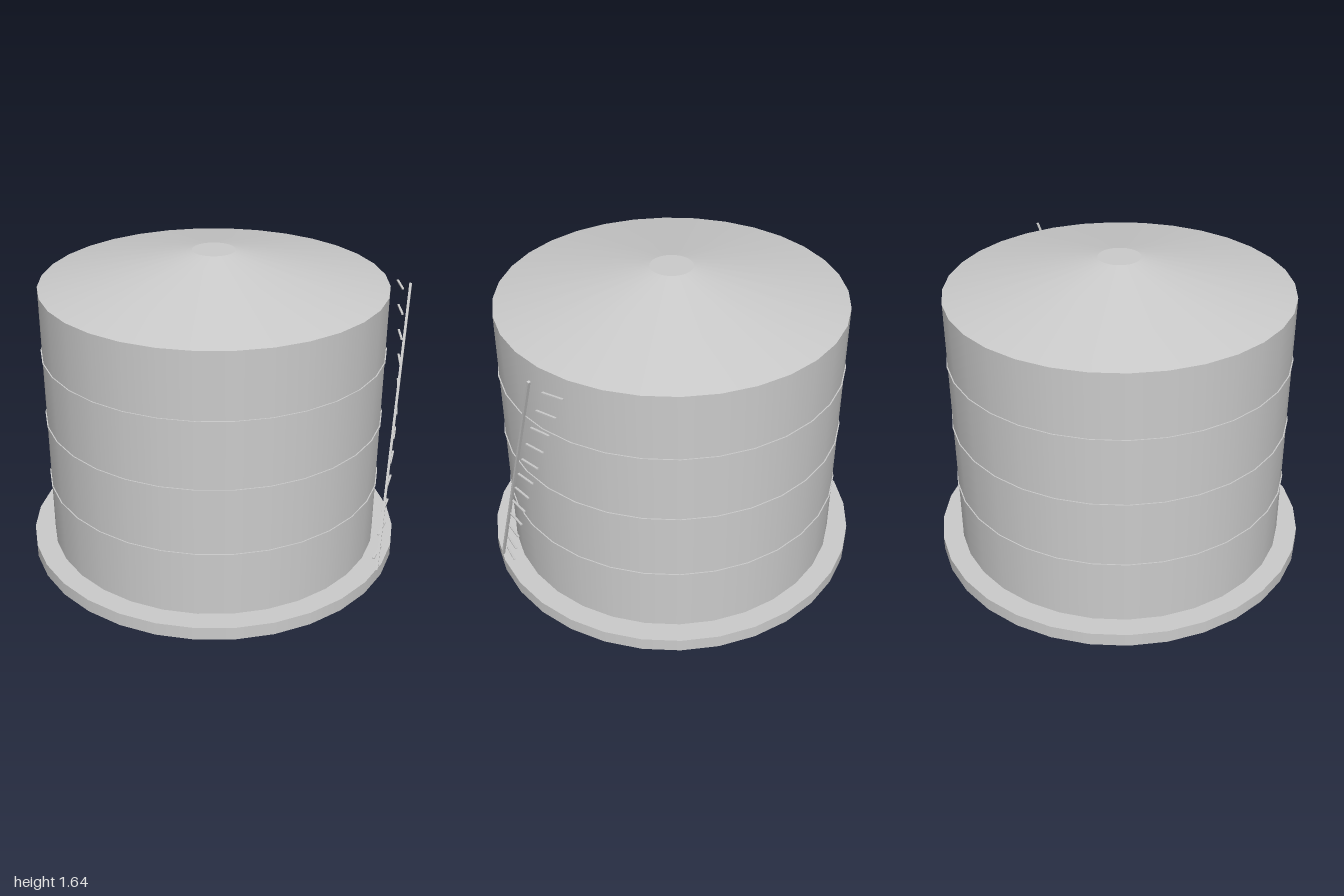
import * as THREE from 'three';

const SIDES = 32;
const material = new THREE.MeshStandardMaterial({ color: 0xcccccc });

function addPart(parent, name, geometry) {
  const mesh = new THREE.Mesh(geometry, material);
  mesh.name = name;
  parent.add(mesh);
  return mesh;
}

// Upright drum or cone standing between two heights
function addDrum(parent, name, topRadius, bottomRadius, y0, y1) {
  const mesh = addPart(parent, name, new THREE.CylinderGeometry(topRadius, bottomRadius, y1 - y0, SIDES));
  mesh.position.y = (y0 + y1) / 2;
  return mesh;
}

export function createModel() {
  const tank = new THREE.Group();
  tank.name = 'storageTank';

  // Foundation, shell and shallow cone roof
  addDrum(tank, 'foundation', 1, 1, 0, 0.07);
  addDrum(tank, 'shell', 0.89, 0.89, 0.07, 1.48);
  addDrum(tank, 'roof', 0.11, 0.89, 1.48, 1.645);

  // Thin hoops around the shell
  for (const y of [0.42, 0.777, 1.135]) {
    addDrum(tank, 'hoop', 0.896, 0.896, y - 0.003, y + 0.003);
  }

  // Stair on the left side: one straight sloping rail and a run of treads
  const stair = new THREE.Group();
  stair.name = 'stair';
  tank.add(stair);

  const start = new THREE.Vector3(0.963, 0.065, 0.25);
  const end = new THREE.Vector3(0.963, 1.48, -0.25);
  const along = end.clone().sub(start);
  const rail = addPart(stair, 'rail', new THREE.BoxGeometry(0.013, along.length(), 0.013));
  rail.position.copy(start).add(end).multiplyScalar(0.5);
  rail.rotation.x = Math.atan2(along.z, along.y);

  // Treads follow the curve of the shell, slightly tilted
  const treadGeometry = new THREE.BoxGeometry(0.011, 0.007, 0.117);
  const count = 12;
  for (let i = 0; i < count; i++) {
    const t = i / (count - 1);
    const angle = THREE.MathUtils.lerp(0.182, -0.365, t);
    const tread = addPart(stair, 'tread', treadGeometry);
    tread.position.set(0.966 * Math.cos(angle), 0.122 + 1.309 * t, 0.966 * Math.sin(angle));
    tread.rotation.set(0.05, -angle, 0, 'YXZ');
  }

  return tank;
}
